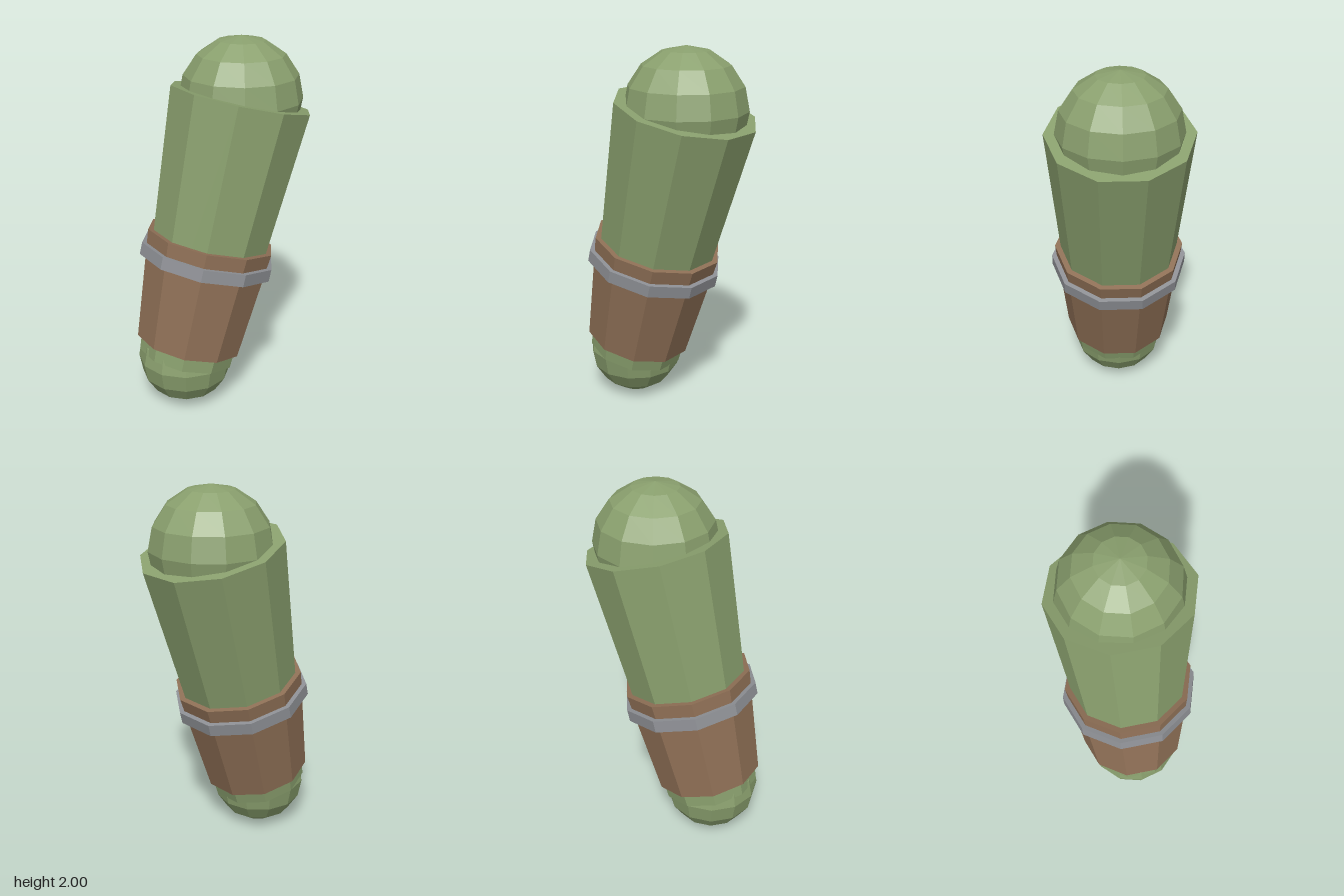
import * as THREE from 'three';

export function createModel() {
  const model = new THREE.Group();
  model.name = 'armoredArm';

  const material = (name, color) => {
    const m = new THREE.MeshStandardMaterial({ color, flatShading: true });
    m.name = name;
    return m;
  };
  const skin = material('greenSkin', 0x8aa06e);
  const leather = material('brownLeather', 0x8f7056);
  const metal = material('greyMetal', 0x8e9095);

  // Tilted limb; its local origin is the shoulder end of the axis
  const limb = new THREE.Group();
  limb.name = 'limb';
  limb.position.set(0.13, 1.675, 0);
  limb.rotation.z = THREE.MathUtils.degToRad(-14);
  model.add(limb);

  // Ten-sided tapered section between two distances along the limb
  const section = (name, mat, rTop, rBottom, from, to) => {
    const mesh = new THREE.Mesh(new THREE.CylinderGeometry(rTop, rBottom, to - from, 10), mat);
    mesh.name = name;
    mesh.position.y = -(from + to) / 2;
    limb.add(mesh);
  };
  section('arm', skin, 0.38, 0.265, 0, 1.455);
  section('bracer', leather, 0.35, 0.292, 0.768, 1.376);
  section('bracerBand', metal, 0.369, 0.369, 0.844, 0.91);

  // Upright rounded joints at both ends
  const joint = (name, r, x, y) => {
    const mesh = new THREE.Mesh(new THREE.SphereGeometry(r, 12, 8), skin);
    mesh.name = name;
    mesh.position.set(x, y, 0);
    model.add(mesh);
  };
  joint('shoulder', 0.325, 0.13, 1.675);
  joint('hand', 0.26, -0.224, 0.26);

  return model;
}
